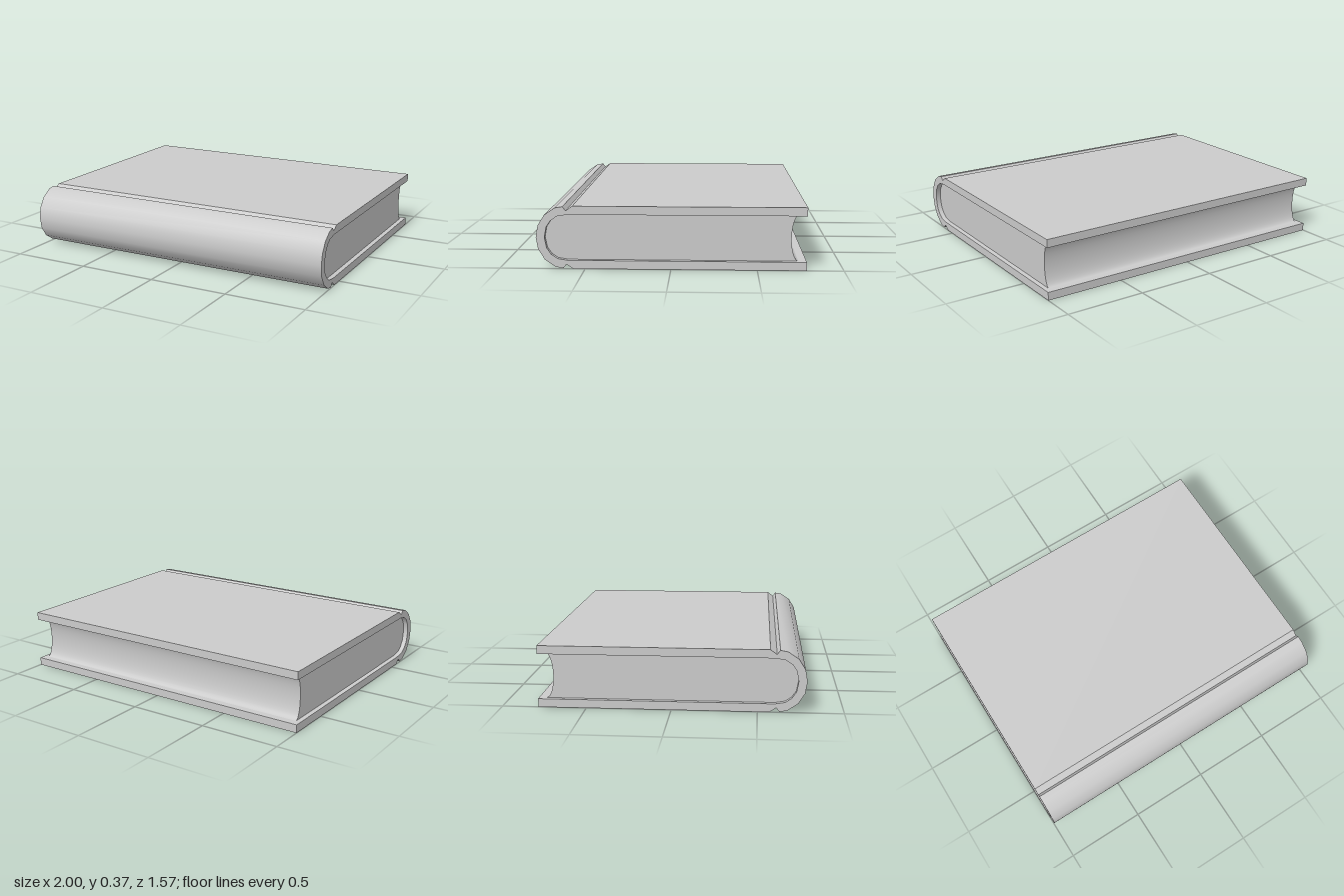
import * as THREE from 'three';
import { toCreasedNormals } from 'three/addons/utils/BufferGeometryUtils.js';

const MID = 0.185; // half of the book's thickness
const BACK = -0.785;

// Extrude a (z, y) outline along x, centred on x = 0
function extrudeAcross(name, points, width, material) {
  const shape = new THREE.Shape(points.map(([z, y]) => new THREE.Vector2(z, y)));
  const geometry = new THREE.ExtrudeGeometry(shape, { depth: width, bevelEnabled: false });
  geometry.rotateY(-Math.PI / 2).translate(width / 2, MID, 0);
  const mesh = new THREE.Mesh(toCreasedNormals(geometry, 0.55), material);
  mesh.name = name;
  return mesh;
}

// Complete an upper half outline, whose last point lies on the middle line
const mirrored = (half) => [...half, ...half.slice(0, -1).reverse().map(([z, y]) => [z, -y])];

export function createModel() {
  const group = new THREE.Group();
  group.name = 'book';
  const material = new THREE.MeshStandardMaterial({ color: 0xcccccc });

  // Outside of the cover: board, hinge groove, rounded spine
  const outer = mirrored([
    [BACK, 0.185], [0.57, 0.185], [0.608, 0.158], [0.627, 0.182],
    [0.672, 0.174], [0.734, 0.132], [0.773, 0.07], [0.785, 0],
  ]);
  // Inside of the spine, shared by cover and pages
  const inner = mirrored([
    [0.6, 0.135], [0.66, 0.125], [0.697, 0.1], [0.723, 0.062], [0.735, 0],
  ]);

  // Cover: both boards and the spine in one C-shaped section
  const cover = [...outer, [BACK, -0.135], ...[...inner].reverse(), [BACK, 0.135]];
  group.add(extrudeAcross('cover', cover, 2, material));

  // Page block: rounded at the spine, hollowed at the fore edge, slightly recessed
  const foreEdge = [];
  const steps = 14;
  for (let i = 0; i <= steps; i++) {
    const a = -Math.PI / 2 + (Math.PI * i) / steps;
    foreEdge.push([-0.739 + 0.042 * Math.cos(a), 0.135 * Math.sin(a)]);
  }
  group.add(extrudeAcross('pages', [...inner, ...foreEdge], 1.94, material));

  return group;
}
